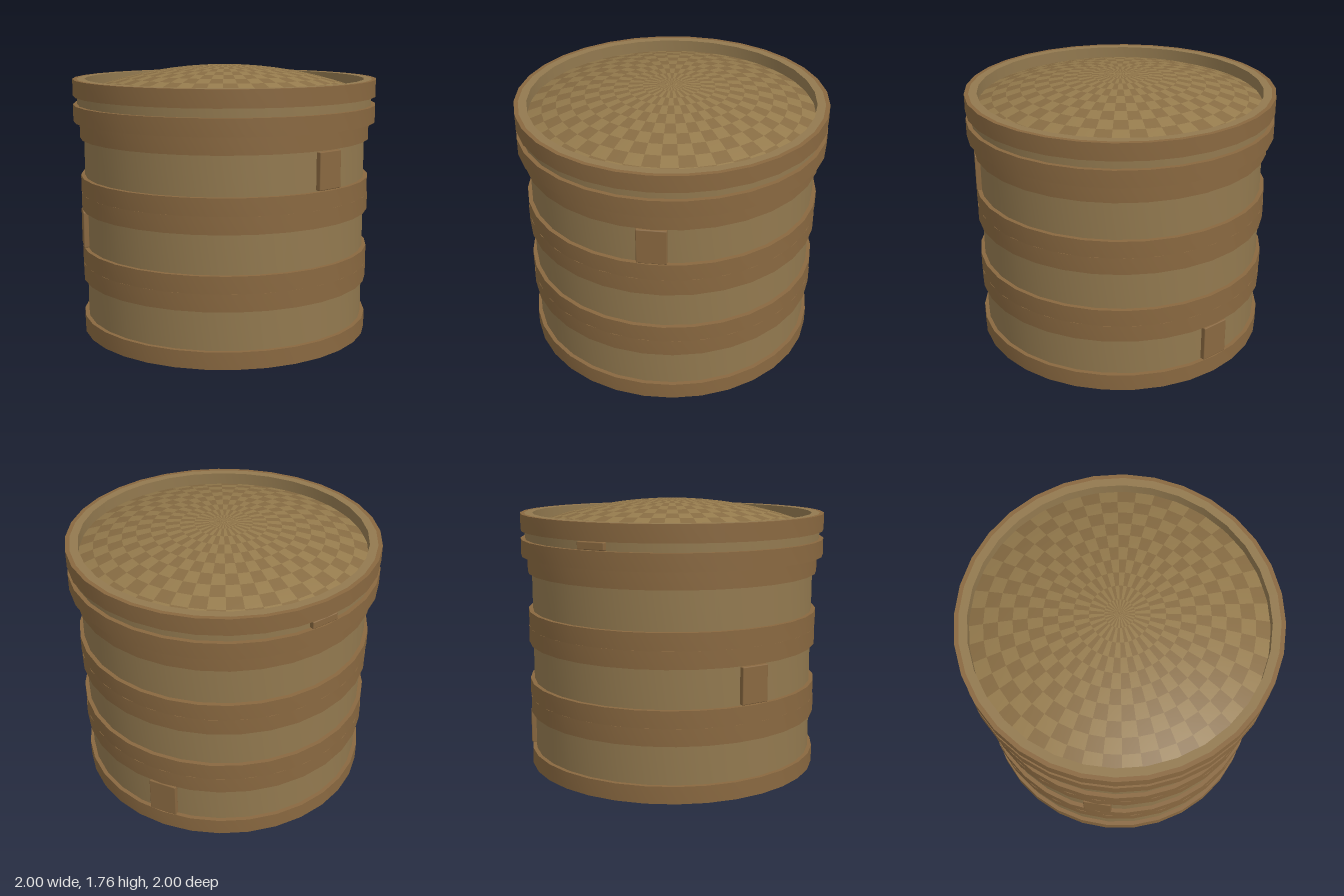
import * as THREE from 'three';
import { toCreasedNormals } from 'three/addons/utils/BufferGeometryUtils.js';
import { RoundedBoxGeometry } from 'three/addons/geometries/RoundedBoxGeometry.js';

const SIDES = 32;
const wallMat = new THREE.MeshStandardMaterial({ color: 0x92794f });
const bandMat = new THREE.MeshStandardMaterial({ color: 0x896840 });
const weaveMats = [0x957b4d, 0x876c43].map(
  (color) => new THREE.MeshStandardMaterial({ color, side: THREE.DoubleSide }));

function add(parent, name, geometry, material) {
  const mesh = new THREE.Mesh(geometry, material);
  mesh.name = name;
  parent.add(mesh);
  return mesh;
}

// Hoop with a rectangular section
function ring(inner, outer, y0, y1) {
  const profile = [[inner, y0], [outer, y0], [outer, y1], [inner, y1], [inner, y0]]
    .map(([r, y]) => new THREE.Vector2(r, y));
  return toCreasedNormals(new THREE.LatheGeometry(profile, SIDES), 0.6);
}

// Wall hoop, a band at each end and a small joining plate between the bands
function hoop(name, o) {
  const group = new THREE.Group();
  group.name = name;
  add(group, 'wall', ring(o.inner, o.wall, 0, o.height), wallMat);
  add(group, 'lowerBand', ring(o.wall, o.band, 0, o.bandHeight), bandMat);
  add(group, 'upperBand', ring(o.wall, o.band, o.height - o.bandHeight, o.height), bandMat);
  const plate = add(group, 'joiningPlate',
    new RoundedBoxGeometry(0.185, o.plateHeight, 0.035, 1, 0.006), bandMat);
  plate.position.set(0, o.height / 2, o.plateOut - 0.0175);
  group.position.y = o.y;
  group.rotation.y = THREE.MathUtils.degToRad(o.angle);
  return group;
}

// Shallow dome, its grid split into a two-tone checkered weave
function wovenDome(radius, edgeY, topY) {
  const group = new THREE.Group();
  group.name = 'wovenDome';
  const rings = 10, spokes = 48, rise = topY - edgeY;
  const R = (radius * radius + rise * rise) / (2 * rise);
  const profile = [];
  for (let i = 0; i <= rings; i++) {
    const r = radius * (1 - i / rings);
    profile.push(new THREE.Vector2(r, topY - R + Math.sqrt(R * R - r * r)));
  }
  const base = new THREE.LatheGeometry(profile, spokes);
  const cells = [[], []];
  for (let s = 0; s < spokes; s++) {
    for (let i = 0; i < rings; i++) {
      const start = (s * rings + i) * 6;
      for (let k = 0; k < 6; k++) cells[(s + i) % 2].push(base.index.getX(start + k));
    }
  }
  cells.forEach((index, n) => {
    const geometry = base.clone();
    geometry.setIndex(index);
    add(group, n ? 'darkWeave' : 'lightWeave', geometry, weaveMats[n]);
  });
  return group;
}

export function createModel() {
  const model = new THREE.Group();
  model.name = 'stackedBasket';

  // Three stacked tiers, each turned a third of a circle
  const tierHeight = 0.469;
  ['bottomTier', 'middleTier', 'topTier'].forEach((name, i) => {
    model.add(hoop(name, {
      inner: 0.88, wall: 0.933, band: 0.96, height: tierHeight, bandHeight: 0.11,
      plateHeight: 0.235, plateOut: 0.96, y: i * tierHeight, angle: 110 + 120 * i,
    }));
  });

  // Lid: wider hoop with a woven dome set inside its rim
  const lid = new THREE.Group();
  lid.name = 'lid';
  lid.add(hoop('lidRim', {
    inner: 0.92, wall: 0.973, band: 1, height: 0.273, bandHeight: 0.109,
    plateHeight: 0.048, plateOut: 0.995, y: 3 * tierHeight, angle: 170,
  }));
  lid.add(wovenDome(0.92, 1.6, 1.765));
  model.add(lid);
  return model;
}
